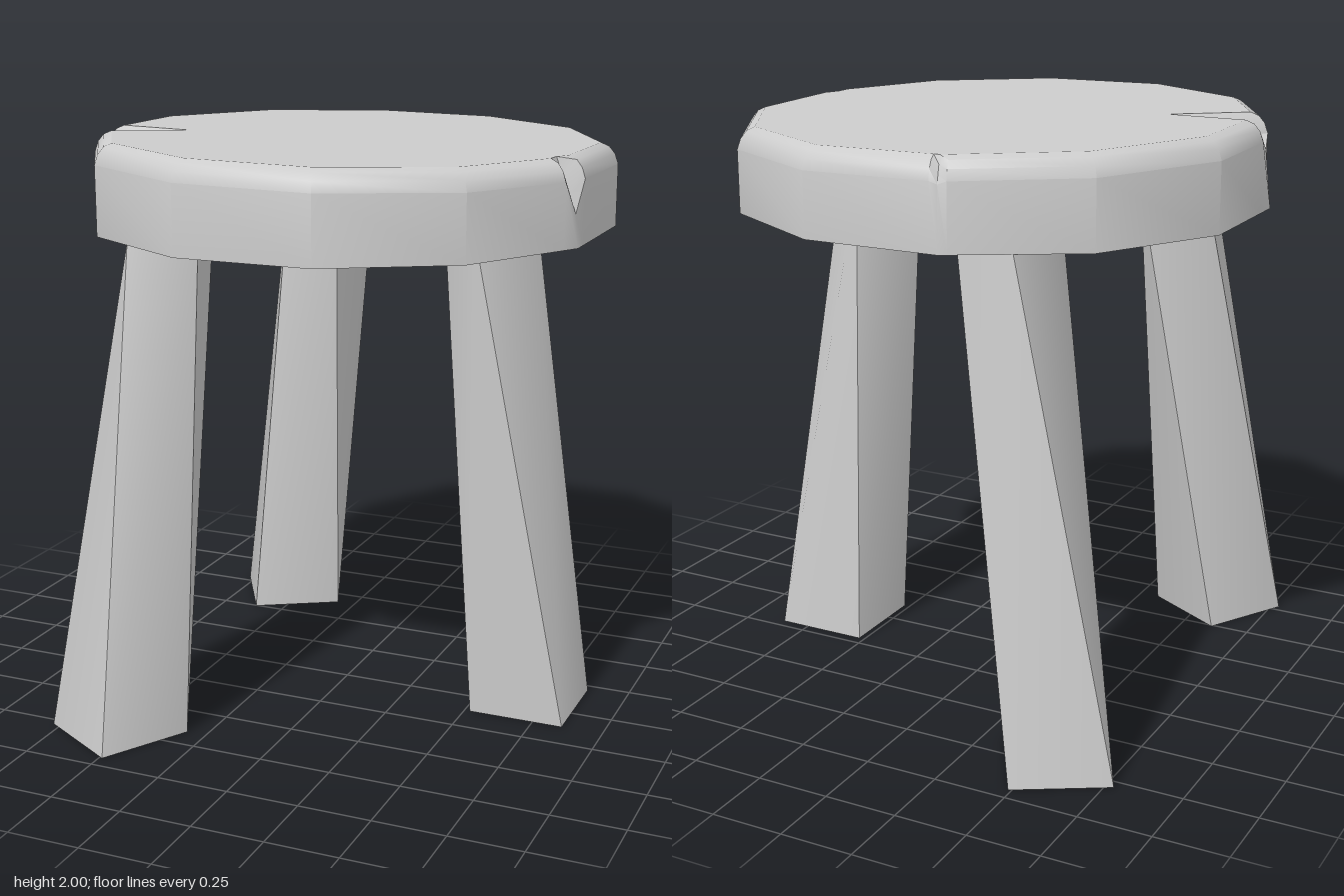
import * as THREE from 'three';
import { mergeGeometries, toCreasedNormals } from 'three/addons/utils/BufferGeometryUtils.js';

const rad = THREE.MathUtils.degToRad;
const CZ = -0.04, R = 0.906, BASE = 1.69;

// Gently sloping top of the seat
const topY = (x, z) => 1.984 - 0.012 * x + 0.007 * z;

function meshData(positions) {
  const g = new THREE.BufferGeometry();
  g.setAttribute('position', new THREE.Float32BufferAttribute(positions.flat(), 3));
  g.computeVertexNormals();
  return g;
}

// Twelve-sided slab with a rounded upper rim and chips knocked out of three corners
function seatGeometry() {
  const corner = k => [R * Math.cos(rad(15 + 30 * k)), CZ + R * Math.sin(rad(15 + 30 * k))];
  const mix = (a, b, t) => [a[0] + (b[0] - a[0]) * t, a[1] + (b[1] - a[1]) * t];
  // corner index: chip width, chip floor at the rim, its mouth and its inner tip
  const chips = {
    0: { w: 0.13, y: 1.8, mouth: [0.865, 0.195], tip: [0.79, 0.175] },
    5: { w: 0.2, y: 1.88, mouth: [-0.84, 0.23], tip: [-0.54, 0.11] },
    8: { w: 0.06, y: 1.9, mouth: [-0.23, -0.905], tip: [-0.215, -0.86] },
  };
  // rim steps: inset and drop below the top
  const steps = [[0, 0.07], [0.012, 0.036], [0.032, 0.012], [0.06, 0]];

  const column = p => {
    const pts = [[p[0], BASE, p[1]]];
    for (const [inset, drop] of steps) {
      const s = 1 - inset / R, x = p[0] * s, z = CZ + (p[1] - CZ) * s;
      pts.push([x, topY(x, z) - drop, z]);
    }
    return pts;
  };
  const chipColumn = (p, c) => {
    const pts = [[p[0], BASE, p[1]]], end = topY(...c.tip);
    for (let i = 0; i < 4; i++) {
      const [x, z] = mix(c.mouth, c.tip, i / 3);
      pts.push([x, c.y + (end - c.y) * i / 3, z]);
    }
    return pts;
  };

  const columns = [];
  for (let k = 0; k < 12; k++) {
    const p = corner(k), c = chips[k];
    if (!c) { columns.push(column(p)); continue; }
    columns.push(column(mix(p, corner(k - 1), c.w)), chipColumn(p, c), column(mix(p, corner(k + 1), c.w)));
  }

  const side = [], caps = [];
  columns.forEach((a, i) => {
    const b = columns[(i + 1) % columns.length];
    for (let j = 0; j < 4; j++) side.push(a[j], a[j + 1], b[j + 1], a[j], b[j + 1], b[j]);
    caps.push([0, topY(0, CZ), CZ], b[4], a[4]);
    caps.push([0, BASE, CZ], a[0], b[0]);
  });
  return mergeGeometries([toCreasedNormals(meshData(side), 0.6), meshData(caps)]);
}

// Tapered square leg whose top is turned an eighth against its foot
function legGeometry(turn, foot, top) {
  const ring = (c, r, y, start) => [0, 1, 2, 3].map(i => {
    const a = rad(turn + start + 90 * i);
    return [c[0] + r * Math.cos(a), y, c[1] + r * Math.sin(a)];
  });
  const b = ring(foot, 0.237, 0, 45), t = ring(top, 0.165, BASE + 0.005, 90);
  const parts = [];
  for (let i = 0; i < 4; i++) {
    const n = (i + 1) % 4;
    // each twisted side is smooth within itself
    const g = meshData([b[i], b[n], t[i], t[n]]);
    g.setIndex([0, 2, 1, 1, 2, 3]);
    g.computeVertexNormals();
    parts.push(g.toNonIndexed());
  }
  parts.push(meshData([b[0], b[1], b[2], b[0], b[2], b[3]]));
  parts.push(meshData([t[0], t[2], t[1], t[0], t[3], t[2]]));
  return mergeGeometries(parts);
}

export function createModel() {
  const group = new THREE.Group();
  const stone = new THREE.MeshStandardMaterial({ color: 0xcccccc });
  stone.name = 'plain grey';

  const add = (name, geometry) => {
    const mesh = new THREE.Mesh(geometry, stone);
    mesh.name = name;
    group.add(mesh);
  };

  add('seat', seatGeometry());
  add('leftLeg', legGeometry(0, [0.688, -0.045], [0.535, 0.035]));
  add('frontRightLeg', legGeometry(120, [-0.55, 0.72], [-0.415, 0.51]));
  add('backRightLeg', legGeometry(240, [-0.55, -0.725], [-0.345, -0.66]));
  return group;
}
